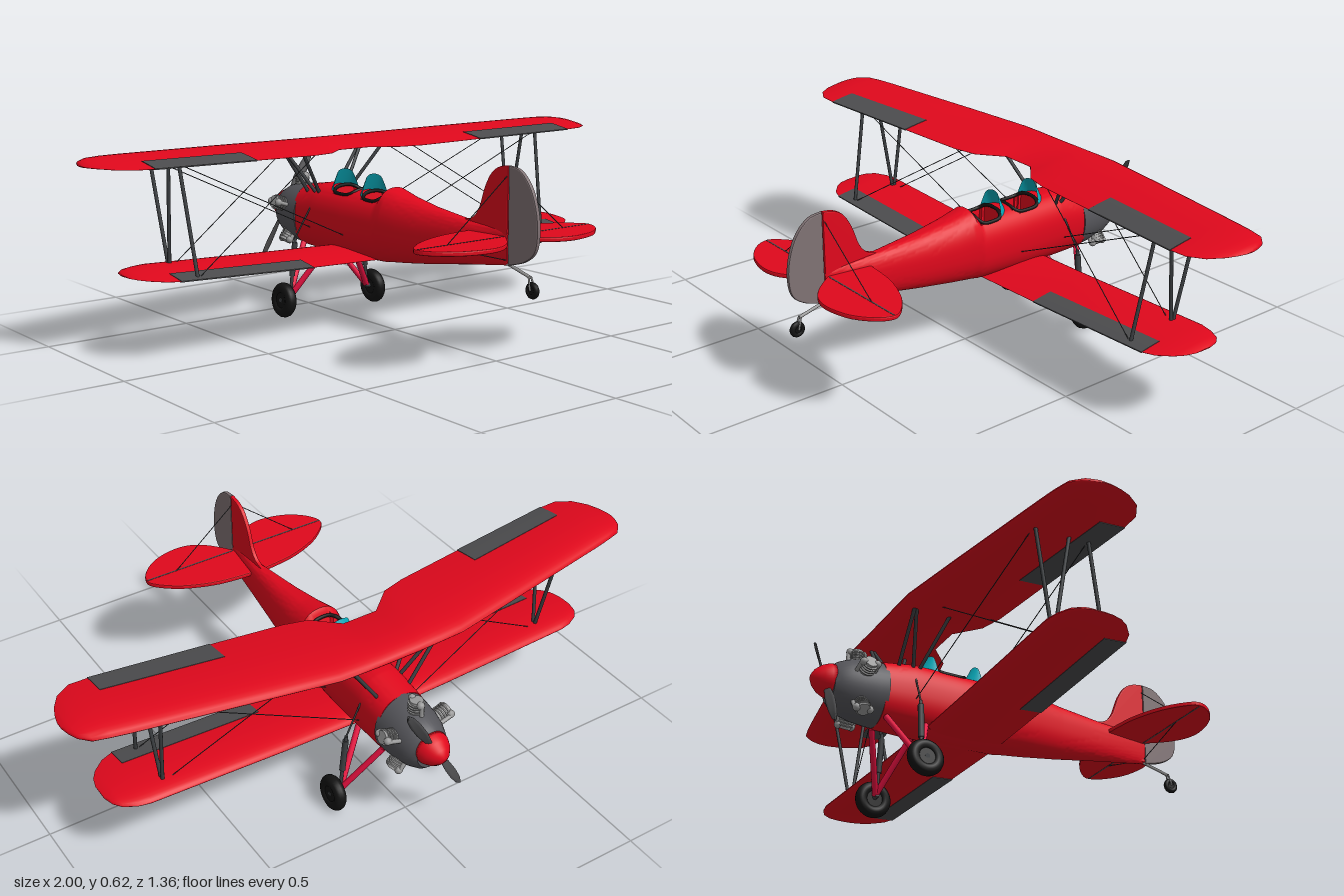
import * as THREE from 'three';
import { toCreasedNormals } from 'three/addons/utils/BufferGeometryUtils.js';

const paint = (color, side = THREE.FrontSide) => new THREE.MeshStandardMaterial({ color, side });
const V = (x, y, z) => new THREE.Vector3(x, y, z);

// Linear lookup in a table of rows sorted by their first value
function sample(rows, k) {
  let i = 0;
  while (i < rows.length - 2 && k > rows[i + 1][0]) i++;
  const [a, b] = [rows[i], rows[i + 1]];
  const t = (k - a[0]) / (b[0] - a[0]);
  return a.map((v, j) => v + (b[j] - v) * t);
}

// Joins equal-sized closed rings into a skin, with both ends capped
function loft(rings, crease = 0.7) {
  const n = rings[0].length, pos = [], idx = [];
  for (const ring of rings) for (const p of ring) pos.push(p.x, p.y, p.z);
  for (let i = 0; i < rings.length - 1; i++) {
    for (let j = 0; j < n; j++) {
      const a = i * n + j, b = i * n + (j + 1) % n;
      idx.push(a, b, a + n, b, b + n, a + n);
    }
  }
  const last = (rings.length - 1) * n;
  for (let j = 1; j < n - 1; j++) idx.push(0, j + 1, j, last, last + j, last + j + 1);
  const g = new THREE.BufferGeometry();
  g.setAttribute('position', new THREE.Float32BufferAttribute(pos, 3));
  g.setIndex(idx);
  return toCreasedNormals(g, crease);
}

// Fuselage rows: z, top, bottom, half width
const BODY = [
  [-0.46, 0.435, 0.22, 0.088], [-0.35, 0.453, 0.217, 0.09], [-0.2, 0.452, 0.218, 0.09],
  [-0.02, 0.45, 0.226, 0.086], [0, 0.476, 0.229, 0.083], [0.08, 0.457, 0.238, 0.073], [0.2, 0.438, 0.254, 0.056],
  [0.38, 0.42, 0.282, 0.032], [0.55, 0.412, 0.306, 0.008],
];
const POW = 2.35;
const COCKPITS = [{ z: -0.22, rx: 0.058, rz: 0.055 }, { z: -0.066, rx: 0.058, rz: 0.048 }];
const inside = (c, x, z) => ((x / c.rx) ** 4 + ((z - c.z) / c.rz) ** 4) < 1;
function topY(x, z) {
  const [, t, b, w] = sample(BODY, z);
  const k = Math.min(1, Math.abs(x / w));
  return (t + b) / 2 + (t - b) / 2 * (1 - k ** POW) ** (1 / POW);
}
function fuselage() {
  const rings = [];
  for (let i = 0; i <= 101; i++) {
    const z = -0.46 + i * 0.01, [, t, b, w] = sample(BODY, z), cy = (t + b) / 2;
    rings.push(Array.from({ length: 64 }, (_, j) => {
      const a = j / 64 * Math.PI * 2, c = Math.cos(a), s = Math.sin(a);
      const x = w * Math.sign(c) * Math.abs(c) ** (2 / POW);
      let y = cy + (t - b) / 2 * Math.sign(s) * Math.abs(s) ** (2 / POW);
      // sink the skin inside each cockpit opening
      if (s > 0 && COCKPITS.some((k) => inside(k, x, z))) y = cy;
      return V(x, y, z);
    }));
  }
  return loft(rings);
}

// Wing rows: x, leading edge z, trailing edge z, height, thickness
const UPPER = [
  [0, -0.46, -0.225, 0.58, 0.036], [0.06, -0.46, -0.225, 0.58, 0.036], [0.1, -0.46, -0.19, 0.581, 0.036],
  [0.14, -0.46, -0.155, 0.582, 0.036], [0.22, -0.458, -0.134, 0.583, 0.036], [0.46, -0.417, -0.107, 0.59, 0.036],
  [0.84, -0.35, -0.065, 0.6, 0.035], [0.9, -0.338, -0.065, 0.602, 0.033], [0.95, -0.325, -0.095, 0.603, 0.028],
  [0.98, -0.295, -0.14, 0.604, 0.02], [0.993, -0.265, -0.175, 0.604, 0.012], [1, -0.235, -0.205, 0.604, 0.003],
];
const LOWER = [
  [0, -0.3, -0.035, 0.234, 0.032], [0.3, -0.3, -0.035, 0.242, 0.032], [0.78, -0.298, -0.035, 0.26, 0.031],
  [0.82, -0.29, -0.05, 0.261, 0.027], [0.86, -0.27, -0.085, 0.263, 0.02], [0.88, -0.245, -0.115, 0.264, 0.012],
  [0.89, -0.21, -0.15, 0.264, 0.003],
];
const bulge = (u) => 2.969 * Math.sqrt(u) - 1.26 * u - 3.516 * u * u + 2.843 * u ** 3 - 1.015 * u ** 4;
// Aerofoil skin between chord fractions f0 and 1, puffed out by grow
function wing(rows, f0 = 0, grow = 0) {
  const N = 12;
  return loft(rows.map(([x, le, te, y, t]) => {
    const at = (k, side) => {
      const q = k / N, u = f0 + (1 - f0) * (f0 ? q : q * q);
      return V(x, y + side * ((side > 0 ? 0.68 : 0.32) * t * bulge(u) + grow), le + (te - le + grow) * u);
    };
    const ring = [];
    for (let k = 0; k <= N; k++) ring.push(at(k, 1));
    for (let k = N; k >= (f0 ? 0 : 1); k--) ring.push(at(k, -1));
    return ring;
  }), 0.8);
}
const mirrored = (rows) => [...rows.slice(1).reverse().map(([x, ...r]) => [-x, ...r]), ...rows];

// Thin rounded plate cut from a smooth outline
function plate(points, depth) {
  const shape = new THREE.Shape(points.map((p) => new THREE.Vector2(...p)));
  const g = new THREE.ExtrudeGeometry(shape, { depth, bevelThickness: 0.004, bevelSize: 0.004, bevelOffset: -0.004, bevelSegments: 2 });
  return g.translate(0, 0, -depth / 2);
}
const smooth = (pts, n = 40) =>
  new THREE.SplineCurve(pts.map((p) => new THREE.Vector2(...p))).getPoints(n).map((p) => [p.x, p.y]);

export function createModel() {
  const plane = new THREE.Group();
  plane.name = 'biplane';
  const red = paint(0xe0081c), gearRed = paint(0xe81040), dark = paint(0x4c4c4e), strutGrey = paint(0x3c3f42), black = paint(0x121212);
  const metal = paint(0x9a9a9a), cowlGrey = paint(0x55555a), rudderGrey = paint(0x807274), glass = paint(0x08a8b8, THREE.DoubleSide);
  const add = (name, geo, mat, parent = plane) => {
    const m = new THREE.Mesh(geo, mat);
    m.name = name;
    parent.add(m);
    return m;
  };
  const rod = (name, a, b, r, mat, sides = 10) => {
    const m = add(name, new THREE.CylinderGeometry(r, r, a.distanceTo(b), sides), mat);
    m.position.copy(a).add(b).multiplyScalar(0.5);
    m.quaternion.setFromUnitVectors(V(0, 1, 0), b.clone().sub(a).normalize());
  };

  // Body, cockpit rims and windshields
  add('fuselage', fuselage(), red);
  for (const c of COCKPITS) {
    const round = (v) => Math.sign(v) * Math.sqrt(Math.abs(v));
    const pts = Array.from({ length: 40 }, (_, i) => {
      const a = i / 20 * Math.PI, x = c.rx * round(Math.cos(a)), z = c.z + c.rz * round(Math.sin(a));
      return V(x, Math.min(topY(x, z), 0.455), z);
    });
    add('cockpitRim', new THREE.TubeGeometry(new THREE.CatmullRomCurve3(pts, true), 80, 0.006, 8, true), black);
    const g = new THREE.PlaneGeometry(2, 1, 14, 4), p = g.attributes.position;
    const front = c.z - c.rz - 0.036;
    for (let i = 0; i < p.count; i++) {
      const a = p.getX(i) * 1.35, v = p.getY(i) + 0.5, s = Math.sin(a), k = 1 - Math.cos(a);
      const x = s * (0.058 - 0.024 * v), z = front + 0.03 * v + k * (0.055 - 0.045 * v);
      p.setXYZ(i, x, (1 - v) * (topY(x, z) - 0.004) + v * (0.507 - 0.02 * k), z);
    }
    g.computeVertexNormals();
    add('windshield', g, glass);
  }

  // Engine cowl, spinner and five cylinders
  const lathe = (pts) => new THREE.LatheGeometry(pts.map((p) => new THREE.Vector2(...p)), 40).rotateX(-Math.PI / 2);
  const cowl = add('cowl', toCreasedNormals(lathe([[0, 0.45], [0.108, 0.45], [0.107, 0.48], [0.102, 0.53],
    [0.092, 0.57], [0.077, 0.602], [0.062, 0.617], [0, 0.618]]), 0.7), cowlGrey);
  cowl.position.y = 0.328;
  cowl.scale.x = 0.86;
  add('spinner', lathe([[0, 0.61], [0.056, 0.612], [0.055, 0.625], [0.045, 0.648], [0.028, 0.668], [0.012, 0.678], [0, 0.68]]), red)
    .position.y = 0.34;
  for (let i = 0; i < 5; i++) {
    const cyl = new THREE.Group();
    cyl.name = 'engineCylinder';
    cyl.position.set(0, 0.335, -0.53);
    cyl.rotation.z = i / 5 * Math.PI * 2;
    add('barrel', new THREE.CylinderGeometry(0.021, 0.021, 0.06, 18), metal, cyl).position.y = 0.1;
    for (let k = 0; k < 4; k++) add('coolingFin', new THREE.CylinderGeometry(0.026, 0.026, 0.004, 18), metal, cyl).position.y = 0.092 + k * 0.009;
    for (const s of [-1, 1]) {
      add('rockerCover', new THREE.SphereGeometry(0.013, 12, 8), metal, cyl).position.set(0, 0.122, s * 0.022);
      add('pushrod', new THREE.CylinderGeometry(0.007, 0.007, 0.05, 8), metal, cyl).position.set(0, 0.098, s * 0.028);
    }
    plane.add(cyl);
  }

  // Two-blade propeller
  const prop = new THREE.Group();
  prop.name = 'propeller';
  prop.position.set(0, 0.34, -0.632);
  prop.rotation.z = -0.53;
  for (const s of [0, Math.PI]) {
    const rings = [[0, 0.008], [0.05, 0.011], [0.1, 0.018], [0.15, 0.017], [0.19, 0.012], [0.207, 0.003]].map(([y, w]) =>
      Array.from({ length: 12 }, (_, j) => {
        const a = -j / 6 * Math.PI, twist = 0.9 - 3 * y, c = w * Math.cos(a), t = 0.004 * Math.sin(a);
        return V(c * Math.cos(twist) - t * Math.sin(twist), y, c * Math.sin(twist) + t * Math.cos(twist));
      }).reverse());
    add('propellerBlade', loft(rings.map((r) => r.reverse())), dark, prop).rotation.z = s;
  }
  plane.add(prop);

  // Wings and ailerons
  add('upperWing', wing(mirrored(UPPER)), red);
  add('lowerWing', wing(mirrored(LOWER)), red);
  for (const s of [1, -1]) {
    for (const [rows, x0, x1, f] of [[UPPER, 0.46, 0.84, 0.7], [LOWER, 0.3, 0.78, 0.72]]) {
      const ends = [sample(rows, x0), sample(rows, x1)].map(([x, ...r]) => [s * x, ...r]);
      add('aileron', wing(s > 0 ? ends : ends.reverse(), f, 0.0015), dark);
    }
    // Wing struts
    for (const [zb, zt] of [[-0.06, -0.12], [-0.23, -0.185], [-0.235, -0.3]])
      rod('wingStrut', V(s * 0.71, 0.262, zb), V(s * 0.73, 0.597, zt), 0.006, strutGrey);
    for (const [zb, zt] of [[-0.34, -0.285], [-0.36, -0.405], [-0.41, -0.41]])
      rod('centreStrut', V(s * 0.06, 0.42, zb), V(s * 0.17, 0.583, zt), 0.006, strutGrey);
    // Bracing wires
    for (const [zb, zt, zRoot] of [[-0.06, -0.12, -0.17], [-0.235, -0.3, -0.36]]) {
      rod('flyingWire', V(s * 0.08, 0.3, zRoot), V(s * 0.72, 0.595, zt), 0.0015, strutGrey, 5);
      rod('landingWire', V(s * 0.7, 0.262, zb), V(s * 0.2, 0.583, zt - 0.04), 0.0015, strutGrey, 5);
    }
    for (const y of [0.58, 0.32]) rod('tailWire', V(0, y, 0.545), V(s * 0.24, 0.387, 0.54), 0.0015, strutGrey, 5);

    // Main landing gear
    for (const z of [-0.31, -0.445]) rod('gearLeg', V(s * 0.055, 0.235, z), V(s * 0.165, 0.065, -0.375), 0.01, gearRed);
    rod('shockStrut', V(s * 0.163, 0.075, -0.372), V(s * 0.142, 0.27, -0.37), 0.006, strutGrey);
    rod('shockSleeve', V(s * 0.156, 0.14, -0.371), V(s * 0.144, 0.255, -0.37), 0.01, strutGrey);
    rod('shockLink', V(s * 0.142, 0.27, -0.37), V(s * 0.08, 0.38, -0.36), 0.003, strutGrey);
    rod('axle', V(s * 0.155, 0.066, -0.372), V(s * 0.205, 0.06, -0.372), 0.008, strutGrey);
    const wheel = new THREE.Group();
    wheel.name = 'mainWheel';
    wheel.position.set(s * 0.19, 0.06, -0.372);
    wheel.rotation.z = s * 0.06;
    add('tyre', new THREE.TorusGeometry(0.04, 0.02, 14, 36).rotateY(Math.PI / 2), black, wheel);
    add('hub', new THREE.CylinderGeometry(0.032, 0.032, 0.028, 24).rotateZ(Math.PI / 2), black, wheel);
    plane.add(wheel);

    // Tailplane half
    const half = smooth([[0, 0.39], [0.07, 0.395], [0.16, 0.41], [0.26, 0.45], [0.33, 0.505], [0.347, 0.545], [0.32, 0.595],
      [0.26, 0.64], [0.18, 0.66], [0.12, 0.652], [0.07, 0.62], [0.03, 0.575], [0.005, 0.54]]);
    add('tailplane', plate(half.map(([x, z]) => [s * x, z]), 0.007).rotateX(Math.PI / 2), red).position.y = 0.386;
    add('elevatorHinge', new THREE.BoxGeometry(0.33, 0.0165, 0.005), dark).position.set(s * 0.178, 0.386, 0.54);
  }

  // Fin and rudder
  const fin = [...smooth([[0.34, 0.42], [0.39, 0.432], [0.42, 0.465], [0.445, 0.53], [0.475, 0.578], [0.51, 0.6], [0.55, 0.607]]),
    [0.55, 0.31], [0.45, 0.31]];
  const rudder = smooth([[0.552, 0.607], [0.6, 0.598], [0.645, 0.555], [0.672, 0.49], [0.68, 0.42], [0.667, 0.36], [0.62, 0.325], [0.552, 0.306]]);
  add('fin', plate(fin, 0.007).rotateY(-Math.PI / 2), red);
  add('rudder', plate(rudder, 0.006).rotateY(-Math.PI / 2), rudderGrey);

  // Tail wheel
  rod('tailWheelLeg', V(0, 0.312, 0.54), V(0, 0.285, 0.645), 0.005, metal);
  for (const x of [-0.01, 0.01]) rod('tailWheelFork', V(x * 0.5, 0.287, 0.643), V(x, 0.247, 0.655), 0.003, metal);
  add('tailWheel', new THREE.TorusGeometry(0.017, 0.009, 10, 24).rotateY(Math.PI / 2), black).position.set(0, 0.247, 0.655);
  add('tailWheelHub', new THREE.CylinderGeometry(0.013, 0.013, 0.012, 16).rotateZ(Math.PI / 2), black).position.set(0, 0.247, 0.655);
  return plane;
}
